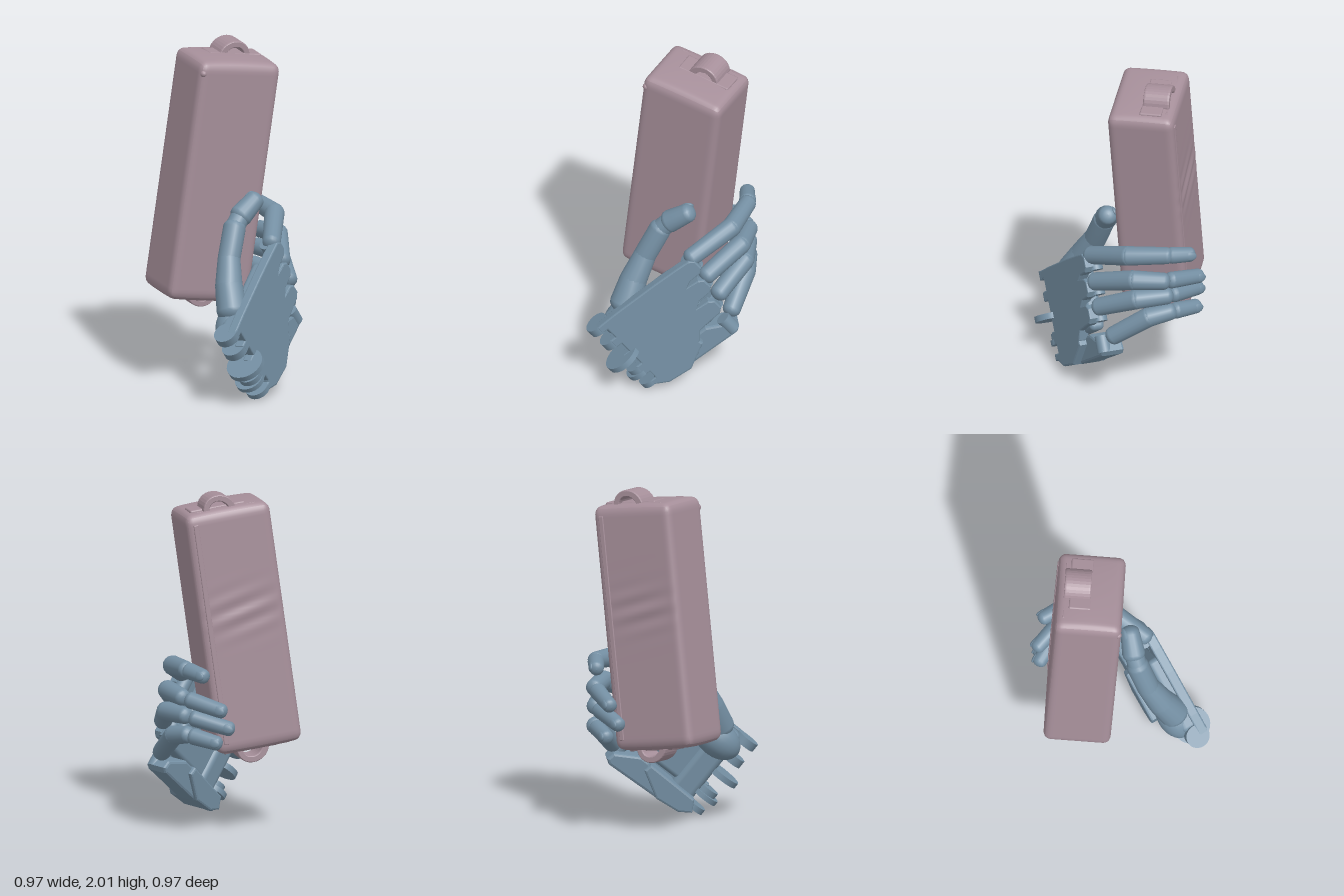
import * as THREE from 'three';
import { RoundedBoxGeometry } from 'three/addons/geometries/RoundedBoxGeometry.js';

const V = (x, y, z) => new THREE.Vector3(x, y, z);
const clothMat = new THREE.MeshStandardMaterial({ color: 0xa68f9a });
const handMat = new THREE.MeshStandardMaterial({ color: 0x748fa3 });

function add(parent, name, geo, mat, x = 0, y = 0, z = 0) {
  const m = new THREE.Mesh(geo, mat);
  m.name = name;
  m.position.set(x, y, z);
  parent.add(m);
  return m;
}

// Group whose local axes are the given directions
function frame(name, x, y, origin) {
  const g = new THREE.Group();
  g.name = name;
  const Y = y.clone().normalize();
  const X = x.clone().addScaledVector(Y, -x.dot(Y)).normalize();
  g.quaternion.setFromRotationMatrix(new THREE.Matrix4().makeBasis(X, Y, X.clone().cross(Y)));
  g.position.copy(origin);
  return g;
}

// Plate extruded from its front surface (z = 0) towards -z
function plate(points, depth, bevel) {
  const shape = new THREE.Shape(points.map(p => new THREE.Vector2(p[0], p[1])));
  const g = new THREE.ExtrudeGeometry(shape, {
    depth: depth - 2 * bevel, bevelThickness: bevel, bevelSize: bevel, bevelOffset: -bevel, bevelSegments: 2
  });
  return g.translate(0, 0, bevel - depth);
}

// Tapered capsule between two points
function limb(parent, name, a, b, r1, r2) {
  const dir = b.clone().sub(a), len = dir.length(), pts = [];
  for (let i = 0; i <= 5; i++) {
    const t = i / 5 * Math.PI / 2;
    pts.push(new THREE.Vector2(r1 * Math.sin(t), -r1 * 0.75 * Math.cos(t)));
  }
  for (let i = 0; i <= 5; i++) {
    const t = i / 5 * Math.PI / 2;
    pts.push(new THREE.Vector2(r2 * Math.cos(t), len + r2 * 0.75 * Math.sin(t)));
  }
  const m = add(parent, name, new THREE.LatheGeometry(pts, 16), handMat, a.x, a.y, a.z);
  m.quaternion.setFromUnitVectors(V(0, 1, 0), dir.normalize());
}

// Flattened nail on the outer side of a fingertip
function nail(parent, a, b, r, out) {
  const dir = b.clone().sub(a).normalize();
  const o = out.clone().addScaledVector(dir, -out.dot(dir)).normalize();
  const g = frame('nail', dir.clone().cross(o), dir, b.clone().addScaledVector(o, r * 0.75).addScaledVector(dir, -r * 0.2));
  add(g, 'nailPlate', new THREE.SphereGeometry(1, 14, 8), handMat).scale.set(r * 0.65, r * 0.9, r * 0.3);
  parent.add(g);
}

// Rounded block with swollen ends and a few soft creases in its back face
function softBlock(W, L, D, r) {
  const geo = new THREE.BoxGeometry(W, L, D, 36, 70, 28);
  const pos = geo.attributes.position, half = V(W / 2, L / 2, D / 2);
  const inner = half.clone().subScalar(r), p = V(0, 0, 0);
  for (let i = 0; i < pos.count; i++) {
    p.fromBufferAttribute(pos, i);
    const core = p.clone().clamp(inner.clone().negate(), inner);
    p.sub(core).setLength(r).add(core);
    const u = 1 - (p.x / half.x) ** 2, v = 1 - (p.z / half.z) ** 2;
    if (Math.abs(p.y) > inner.y) p.y += Math.sign(p.y) * 0.022 * Math.sqrt(u * v) * (Math.abs(p.y) - inner.y) / r;
    if (p.z < -inner.z) p.z += 0.006 * u * Math.sin(p.y * 55 + p.x * 12) * Math.exp(-(((p.y - 0.1) / 0.12) ** 2));
    pos.setXYZ(i, p.x, p.y, p.z);
  }
  geo.computeVertexNormals();
  return geo;
}

function makeCase() {
  const g = frame('softCase', V(0.89, 0, 0.45), V(0.1, 1, 0.094), V(0.06, 1.212, -0.15));
  const L = 1.405, W = 0.508, D = 0.388;
  add(g, 'caseBody', softBlock(W, L, D, 0.042), clothMat);

  for (const s of [1, -1]) {
    // Strap patch and low loop on each end
    add(g, 'strapPatch', new RoundedBoxGeometry(0.33, 0.024, 0.13, 2, 0.01), clothMat, 0.04, s * (L / 2 + 0.011), -0.055);
    const arch = new THREE.Shape();
    arch.moveTo(-0.095, -0.01);
    arch.bezierCurveTo(-0.085, 0.1, 0.085, 0.115, 0.09, -0.01);
    arch.lineTo(0.065, -0.01);
    arch.bezierCurveTo(0.06, 0.08, -0.055, 0.065, -0.065, -0.01);
    const loop = new THREE.ExtrudeGeometry(arch, {
      depth: 0.13, bevelThickness: 0.012, bevelSize: 0.006, bevelSegments: 3, curveSegments: 16
    });
    const strap = add(g, 'strapLoop', loop, clothMat, 0.04, s * (L / 2 + 0.008), s > 0 ? -0.14 : -0.01);
    if (s < 0) strap.rotation.x = Math.PI;
    // Seam across the end
    add(g, 'endSeam', new RoundedBoxGeometry(0.36, 0.014, 0.012, 1, 0.004), clothMat, 0, s * (L / 2 + 0.006), -0.145);
  }

  // Zip seam with its flap down the back face, and corner tab
  add(g, 'zipFlap', new RoundedBoxGeometry(0.03, L - 0.1, 0.012, 2, 0.005), clothMat, 0.2, 0, -D / 2);
  add(g, 'cornerTab', new THREE.SphereGeometry(0.02, 10, 8), clothMat, -0.232, L / 2 - 0.06, D / 2 - 0.015);
  return g;
}

function makePalm() {
  // x runs along the wrist, y to the fingers, z out of the back of the hand
  const g = frame('palm', V(0.645, -0.76, -0.04), V(0.77, 0.62, -0.166), V(-0.48, 0.41, 0.43));

  // Back plate with a notched wrist edge and knuckle tabs
  const pts = [[0, 0.07]];
  for (const [a, b] of [[0.05, 0.12], [0.18, 0.25], [0.29, 0.36], [0.44, 0.49]])
    pts.push([a, 0.07], [a, 0.11], [b, 0.11], [b, 0.07]);
  pts.push([0.525, 0.07], [0.57, 0.2], [0.57, 0.3], [0.47, 0.46], [0.42, 0.5]);
  for (const [a, b] of [[0.35, 0.69], [0.2, 0.735], [0.06, 0.775]])
    pts.push([a + 0.06, b - 0.11], [a + 0.055, b - 0.03], [a + 0.03, b], [a - 0.03, b], [a - 0.055, b - 0.03], [a - 0.06, b - 0.11]);
  pts.push([-0.005, 0.5], [-0.005, 0.2]);
  add(g, 'backPlate', plate(pts, 0.06, 0.008), handMat);

  // Thicker heel of the hand and palm padding
  add(g, 'palmPad', new RoundedBoxGeometry(0.42, 0.48, 0.09, 3, 0.03), handMat, 0.23, 0.37, -0.075);
  add(g, 'wristHeel', new RoundedBoxGeometry(0.5, 0.16, 0.13, 3, 0.04), handMat, 0.26, 0.19, -0.075);

  // Thumb mound
  add(g, 'thumbMound', new THREE.SphereGeometry(1, 20, 14), handMat, 0.11, 0.22, -0.12).scale.set(0.105, 0.15, 0.1);

  // Wall on the little finger side and the broad plate leading to its knuckle
  add(g, 'sideWall', plate([[0.46, 0.12], [0.53, 0.08], [0.575, 0.15], [0.59, 0.3], [0.5, 0.46], [0.45, 0.45]], 0.21, 0.012), handMat);
  add(g, 'littleFingerPlate', plate([[0.55, 0.24], [0.59, 0.28], [0.6, 0.64], [0.58, 0.67], [0.53, 0.66], [0.45, 0.52], [0.45, 0.46]], 0.14, 0.015), handMat, 0, 0, -0.045);

  // Wrist hinge lugs and the two larger ribs
  const disc = (name, a, b, n, r, w) => {
    add(g, name, new THREE.CylinderGeometry(r, r, w, 28), handMat, a, b, n).rotation.z = Math.PI / 2;
  };
  for (const [a, w] of [[0.025, 0.05], [0.15, 0.05], [0.395, 0.05], [0.507, 0.035]])
    disc('wristLug', a, 0.07, -0.07, 0.07, w);
  disc('wristRib', 0.27, 0.05, -0.04, 0.11, 0.035);
  disc('wristRib', 0.42, 0.06, -0.08, 0.085, 0.03);

  // Knuckle pins
  for (const [a, b] of [[0.06, 0.74], [0.2, 0.7], [0.35, 0.655], [0.53, 0.63]])
    disc('knucklePin', a, b, -0.075, 0.042, 0.1);
  return g;
}

function makeFingers() {
  const g = new THREE.Group();
  g.name = 'fingers';
  // Knuckle, two bends and tip of each finger
  const fingers = {
    indexFinger: [[0.11, 0.86, 0.25], [0.335, 0.965, 0.09], [0.42, 0.985, -0.12], [0.41, 0.965, -0.26]],
    middleFinger: [[0.2, 0.735, 0.25], [0.39, 0.83, 0.07], [0.43, 0.82, -0.1], [0.33, 0.76, -0.33]],
    ringFinger: [[0.27, 0.605, 0.245], [0.41, 0.71, 0.06], [0.425, 0.715, -0.12], [0.28, 0.65, -0.34]],
    littleFinger: [[0.34, 0.44, 0.18], [0.415, 0.58, -0.01], [0.425, 0.605, -0.14], [0.35, 0.57, -0.31]]
  };
  for (const [name, raw] of Object.entries(fingers)) {
    const f = new THREE.Group();
    f.name = name;
    const p = raw.map(q => V(...q));
    limb(f, 'lowerSegment', p[0], p[1], 0.053, 0.058);
    limb(f, 'middleSegment', p[1], p[2], 0.057, 0.05);
    const start = p[2].clone().lerp(p[3], 0.22);
    limb(f, 'fingertip', start, p[3], 0.049, 0.043);
    nail(f, start, p[3], 0.043, V(0.8, 0.1, -0.4));
    g.add(f);
  }
  return g;
}

function makeThumb() {
  const g = new THREE.Group();
  g.name = 'thumb';
  const p = [[-0.27, 0.53, 0.265], [-0.225, 0.66, 0.205], [-0.16, 0.8, 0.153], [-0.075, 0.965, 0.125], [-0.015, 1.025, 0.125], [0.085, 1.1, 0.145]]
    .map(q => V(...q));
  limb(g, 'thumbBase', p[0], p[1], 0.09, 0.08);
  limb(g, 'thumbLower', p[1], p[2], 0.08, 0.066);
  limb(g, 'thumbMiddle', p[2], p[3], 0.066, 0.066);
  limb(g, 'thumbJoint', p[3], p[4], 0.057, 0.057);
  limb(g, 'thumbTip', p[4], p[5], 0.067, 0.056);
  nail(g, p[4], p[5], 0.056, V(0.3, 0.5, -0.6));
  return g;
}

export function createModel() {
  const model = new THREE.Group();
  model.name = 'handHoldingCase';
  const hand = new THREE.Group();
  hand.name = 'mechanicalHand';
  hand.add(makePalm(), makeFingers(), makeThumb());
  model.add(makeCase(), hand);
  return model;
}
